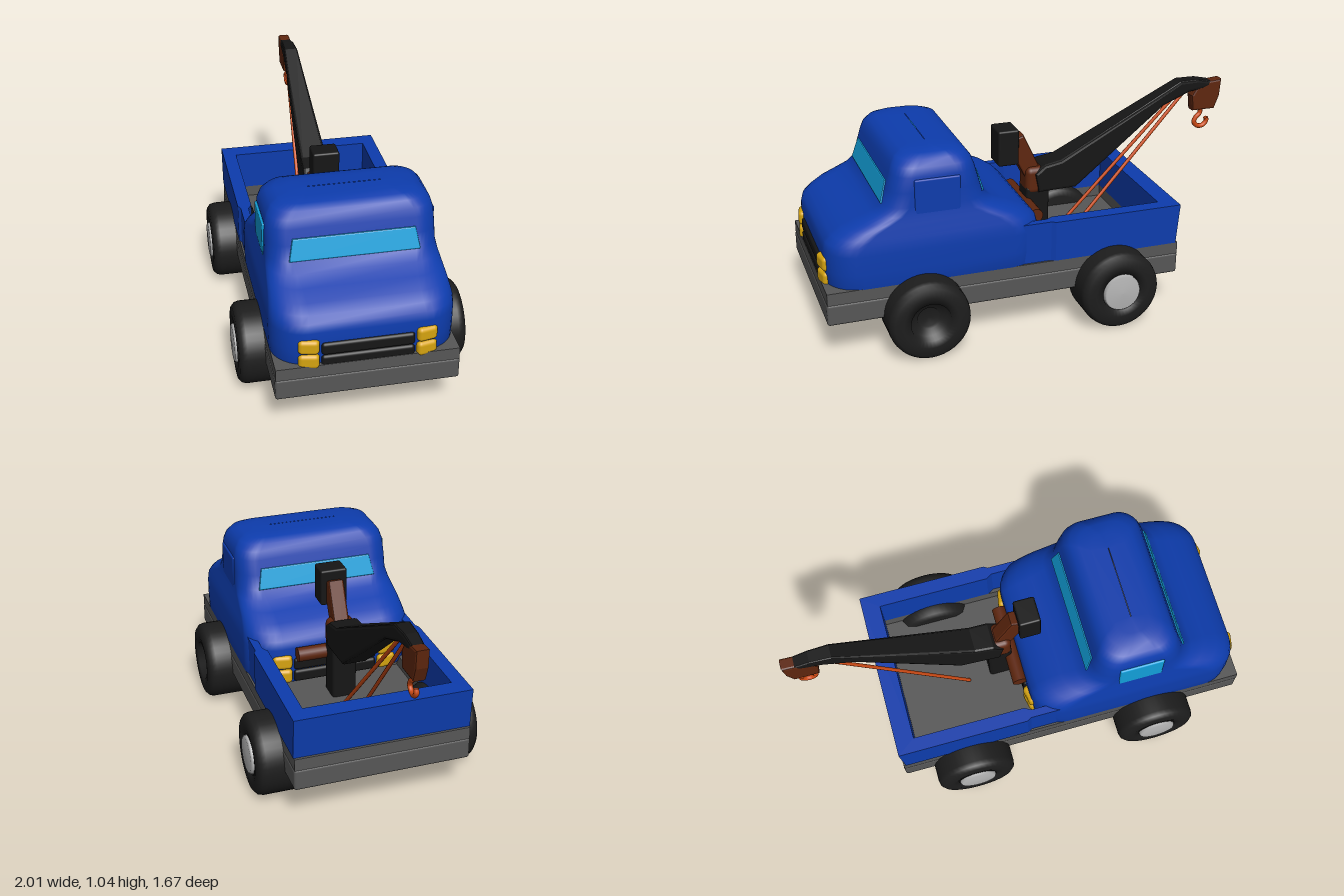
import * as THREE from 'three';
import { RoundedBoxGeometry } from 'three/addons/geometries/RoundedBoxGeometry.js';

const mat = (color) => new THREE.MeshStandardMaterial({ color, side: THREE.DoubleSide });
const M = {
  blue: mat(0x0d3cad), frame: mat(0x565656), tire: mat(0x1d1d1d), cap: mat(0xb5b5b5),
  black: mat(0x161616), brown: mat(0x5e260e), rope: mat(0xcc4a14), yellow: mat(0xd6a410), glass: mat(0x12a0da),
};

function add(parent, name, geometry, material, x = 0, y = 0, z = 0) {
  const mesh = new THREE.Mesh(geometry, material);
  mesh.name = name;
  mesh.position.set(x, y, z);
  parent.add(mesh);
  return mesh;
}
const rbox = (w, h, d, r = 0.015) => new RoundedBoxGeometry(w, h, d, 3, r);

// Shape drawn in plan as [x, z] pairs, extruded upwards from y = 0
function planExtrude(points, height, hole) {
  const v = (list) => list.map(([x, z]) => new THREE.Vector2(x, -z));
  const shape = new THREE.Shape(v(points));
  if (hole) shape.holes.push(new THREE.Path(v(hole)));
  return new THREE.ExtrudeGeometry(shape, { depth: height, bevelEnabled: false }).rotateX(-Math.PI / 2);
}

// Shape drawn from the side as [z, y] pairs, extruded across x and centred
function sideExtrude(points, width, bevel = 0.01) {
  const shape = new THREE.Shape(points.map(([z, y]) => new THREE.Vector2(z, y)));
  return new THREE.ExtrudeGeometry(shape, {
    depth: width - 2 * bevel, bevelThickness: bevel, bevelSize: bevel, bevelOffset: -bevel, bevelSegments: 2,
  }).translate(0, 0, bevel - width / 2).rotateY(-Math.PI / 2);
}

// Stack of rounded rectangles: [y, half length, half width, corner radius]
function loft(sections, steps = 8) {
  const pos = [], idx = [], n = 4 * (steps + 1);
  for (const [y, L, W, r] of sections) {
    for (let c = 0; c < 4; c++) {
      const sx = c === 0 || c === 3 ? 1 : -1, sz = c < 2 ? 1 : -1;
      for (let k = 0; k <= steps; k++) {
        const a = (c + k / steps) * Math.PI / 2;
        pos.push(sx * (W - r) + r * Math.cos(a), y, sz * (L - r) + r * Math.sin(a));
      }
    }
  }
  for (let i = 0; i < sections.length - 1; i++) {
    for (let j = 0; j < n; j++) {
      const a = i * n + j, b = i * n + (j + 1) % n;
      idx.push(a, a + n, b, b, a + n, b + n);
    }
  }
  const g = new THREE.BufferGeometry();
  g.setAttribute('position', new THREE.Float32BufferAttribute(pos, 3));
  g.setIndex(idx);
  g.computeVertexNormals();
  return g;
}

function addCab(truck) {
  const cab = new THREE.Group();
  cab.name = 'cab';
  cab.position.z = 0.335;
  truck.add(cab);
  add(cab, 'cabBody', loft([
    [0.33, 0.50, 0.405, 0.14], [0.36, 0.513, 0.418, 0.155], [0.43, 0.517, 0.42, 0.155], [0.52, 0.515, 0.42, 0.155],
    [0.56, 0.505, 0.417, 0.155], [0.59, 0.475, 0.412, 0.155], [0.62, 0.43, 0.407, 0.15], [0.65, 0.36, 0.402, 0.14],
    [0.68, 0.29, 0.397, 0.125], [0.72, 0.24, 0.392, 0.11], [0.79, 0.22, 0.39, 0.1], [0.86, 0.2, 0.387, 0.1],
    [0.9, 0.187, 0.375, 0.1], [0.93, 0.165, 0.352, 0.1], [0.948, 0.13, 0.315, 0.09], [0.955, 0.08, 0.26, 0.07],
    [0.957, 0.001, 0.18, 0.001],
  ]), M.blue);

  // Both ends carry a window, a grille and paired lamps
  for (const [end, turn] of [['front', 0], ['rear', Math.PI]]) {
    const face = new THREE.Group();
    face.name = end + 'Face';
    face.rotation.y = turn;
    cab.add(face);
    const pane = new THREE.Shape([[-0.3, -0.055], [0.3, -0.055], [0.28, 0.05], [-0.28, 0.05]]
      .map(([x, y]) => new THREE.Vector2(x, y)));
    const window = add(face, end + 'Window', new THREE.ExtrudeGeometry(pane, {
      depth: 0.01, bevelSize: 0.006, bevelThickness: 0.006, bevelOffset: -0.006, bevelSegments: 2,
    }), M.glass, 0, 0.77, 0.217);
    window.rotation.x = -0.28;
    for (const y of [0.372, 0.437]) {
      add(face, end + 'GrilleBar', rbox(0.42, 0.062, 0.05), M.black, 0, y, 0.505);
    }
    for (const s of [-1, 1]) {
      for (const y of [0.378, 0.453]) {
        add(face, end + 'Lamp', rbox(0.095, 0.072, 0.05, 0.02), M.yellow, s * 0.265, y, 0.508).rotation.y = s * 0.2;
      }
    }
  }
  // Glazed right window, bare left window panel
  add(cab, 'rightWindow', rbox(0.02, 0.17, 0.215, 0.008), M.glass, -0.388, 0.765, 0);
  add(cab, 'leftWindowPanel', rbox(0.02, 0.17, 0.215, 0.008), M.blue, 0.386, 0.765, 0);
}

function addWheels(truck) {
  const profile = [[0, 0], [0.15, 0], [0.178, 0.012], [0.195, 0.045], [0.195, 0.2], [0.19, 0.222],
    [0.172, 0.238], [0.13, 0.242], [0.096, 0.236], [0.09, 0.195], [0.055, 0.19], [0.05, 0.175], [0, 0.175]];
  const tire = new THREE.LatheGeometry(profile.map(([r, y]) => new THREE.Vector2(r, y)), 40);
  const cap = new THREE.LatheGeometry([[0.092, 0.19], [0.092, 0.24], [0.085, 0.249], [0, 0.252]]
    .map(([r, y]) => new THREE.Vector2(r, y)), 32);
  for (const side of [-1, 1]) {
    for (const [end, z] of [['front', 0.415], ['rear', -0.527]]) {
      const wheel = new THREE.Group();
      wheel.name = end + (side > 0 ? 'Left' : 'Right') + 'Wheel';
      wheel.position.set(side * 0.3, 0.2, z);
      wheel.rotation.z = -side * Math.PI / 2;
      truck.add(wheel);
      add(wheel, 'tire', tire, M.tire);
      // The front left wheel shows its open hub
      if (!(side > 0 && end === 'front')) add(wheel, 'hubCap', cap, M.cap);
    }
  }
}

function addCrane(truck) {
  const crane = new THREE.Group();
  crane.name = 'crane';
  truck.add(crane);

  // Boom, narrowing towards its tip
  const boom = sideExtrude([[-0.27, 0.56], [-0.25, 0.66], [-0.3, 0.7], [-0.39, 0.715], [-1.03, 1.045],
    [-1.13, 1.045], [-1.2, 1.03], [-1.2, 1.0], [-1.08, 0.985], [-0.94, 0.93], [-0.47, 0.56]], 0.15, 0.015);
  const p = boom.attributes.position;
  for (let i = 0; i < p.count; i++) {
    p.setX(i, p.getX(i) * THREE.MathUtils.mapLinear(p.getZ(i), -0.25, -1.2, 1, 0.4));
  }
  boom.computeVertexNormals();
  add(crane, 'boom', boom, M.black);

  // Mast, strut and winch shaft
  add(crane, 'boomCollar', rbox(0.13, 0.14, 0.12, 0.03), M.brown, 0, 0.62, -0.27);
  add(crane, 'strut', sideExtrude([[-0.34, 0.57], [-0.25, 0.56], [-0.11, 0.83], [-0.2, 0.86]], 0.075), M.brown);
  add(crane, 'mastHead', rbox(0.13, 0.18, 0.105, 0.01), M.black, 0, 0.81, -0.115);
  add(crane, 'mastPost', rbox(0.12, 0.3, 0.12), M.black, 0, 0.44, -0.27);
  add(crane, 'winchShaft', new THREE.CylinderGeometry(0.035, 0.035, 0.4, 20).rotateZ(Math.PI / 2), M.brown, 0, 0.5, -0.21);

  // Head block and hook
  add(crane, 'headBlock', sideExtrude([[-1.26, 1.035], [-1.14, 1.025], [-1.1, 0.96], [-1.11, 0.88], [-1.23, 0.88],
    [-1.255, 0.95]], 0.06), M.brown);
  const hook = new THREE.CatmullRomCurve3([[0.88, -1.165], [0.855, -1.165], [0.835, -1.145], [0.81, -1.135],
    [0.787, -1.155], [0.787, -1.185], [0.81, -1.205], [0.828, -1.2]].map(([y, z]) => new THREE.Vector3(0, y, z)));
  add(crane, 'hook', new THREE.TubeGeometry(hook, 36, 0.012, 10), M.rope);

  // Stay cables from the boom to the bed floor
  for (const s of [-1, 1]) {
    const line = new THREE.LineCurve3(new THREE.Vector3(s * 0.02, 0.98, -1.05), new THREE.Vector3(s * 0.06, 0.31, -0.44));
    add(crane, 'stayCable', new THREE.TubeGeometry(line, 1, 0.009, 8), M.rope);
  }
}

export function createModel() {
  const model = new THREE.Group();
  model.name = 'towTruck';
  const truck = new THREE.Group();
  truck.name = 'truck';
  truck.position.set(0.038, 0, 0.005);
  truck.rotation.y = 0.98;
  model.add(truck);

  // Chassis with a raised rim around the sunken bed floor
  const rect = (w, z0, z1) => [[-w, z0], [w, z0], [w, z1], [-w, z1]];
  add(truck, 'chassis', rbox(0.84, 0.105, 1.74, 0.012), M.frame, 0, 0.25, 0);
  add(truck, 'chassisRim', planExtrude(rect(0.417, -0.867, 0.867), 0.06, rect(0.352, -0.78, -0.12)), M.frame, 0, 0.3, 0);

  // Bed walls: sides and tailgate in one U, leaning out slightly to the rear
  const half = [[0.408, -0.03], [0.408, -0.21], [0.42, -0.23], [0.42, -0.87]];
  const inner = [[0.352, -0.78], [0.352, -0.23], [0.37, -0.2], [0.37, -0.03]];
  const mirror = (list) => list.map(([x, z]) => [-x, z]).reverse();
  const walls = planExtrude([...half, ...mirror(half), ...mirror(inner), ...inner], 0.2);
  const wp = walls.attributes.position;
  for (let i = 0; i < wp.count; i++) {
    if (wp.getY(i) < 0.1 && wp.getZ(i) < -0.85) wp.setZ(i, -0.855);
  }
  walls.computeVertexNormals();
  add(truck, 'bedWalls', walls, M.blue, 0, 0.36, 0);

  addCab(truck);
  addWheels(truck);
  addCrane(truck);
  return model;
}
